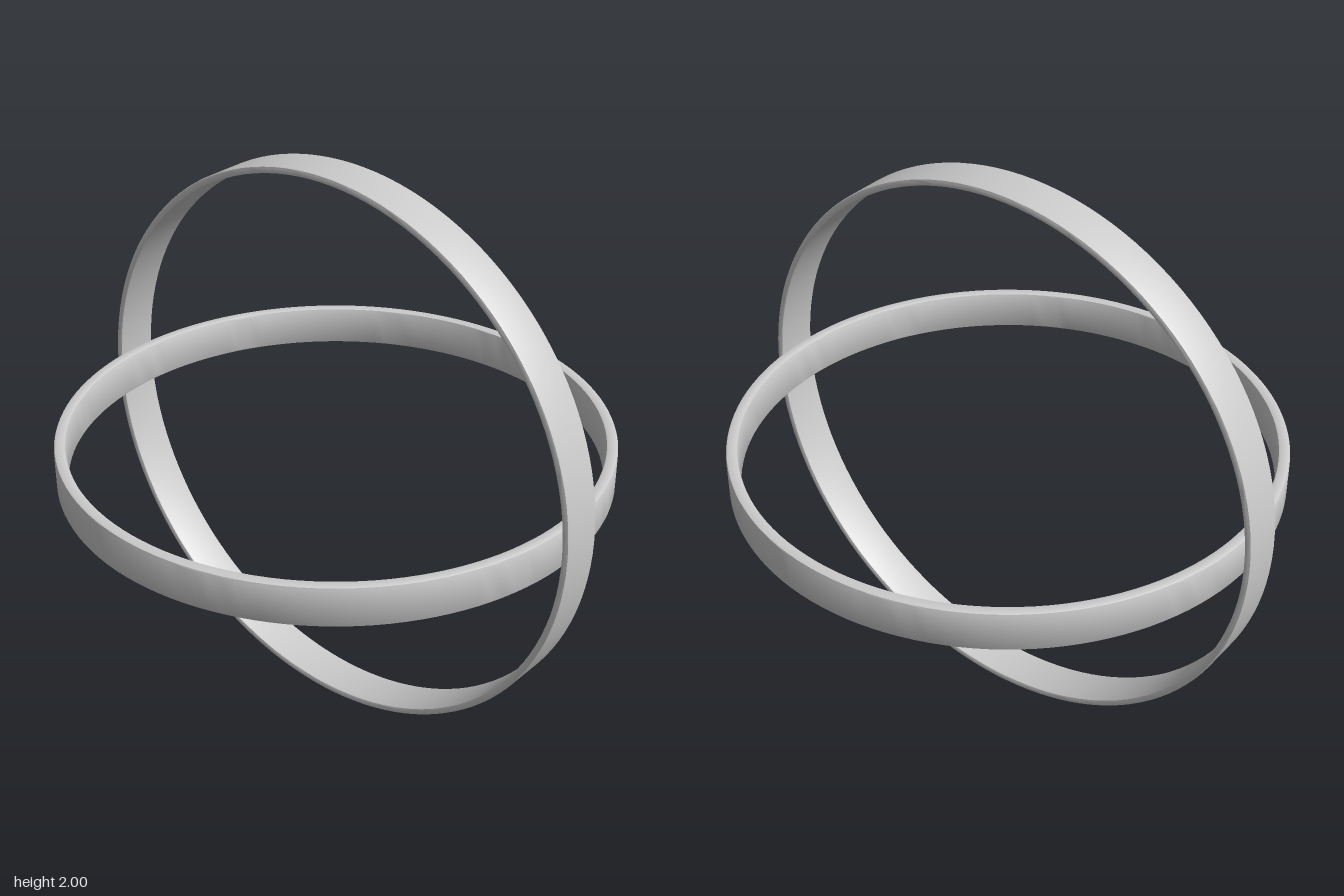
import * as THREE from 'three';
import { toCreasedNormals } from 'three/addons/utils/BufferGeometryUtils.js';

const material = new THREE.MeshStandardMaterial({ color: 0xcccccc });

// Flat band with softened rims, revolved around y
function makeBand(name, inner, outer, halfWidth, bevel) {
  const b = bevel, h = halfWidth;
  const profile = [
    [inner + b, -h], [outer - b, -h],
    [outer - b * 0.3, -h + b * 0.3], [outer, -h + b],
    [outer, h - b], [outer - b * 0.3, h - b * 0.3],
    [outer - b, h], [inner + b, h],
    [inner + b * 0.3, h - b * 0.3], [inner, h - b],
    [inner, -h + b], [inner + b * 0.3, -h + b * 0.3],
    [inner + b, -h],
  ].map(([r, y]) => new THREE.Vector2(r, y));
  const geometry = toCreasedNormals(new THREE.LatheGeometry(profile, 128), 0.6);
  const mesh = new THREE.Mesh(geometry, material);
  mesh.name = name;
  mesh.position.y = 1;
  return mesh;
}

export function createModel() {
  const model = new THREE.Group();
  model.name = 'crossedRings';

  // Upright outer ring, its axis along z
  const uprightRing = makeBand('uprightRing', 0.975, 1, 0.077, 0.008);
  uprightRing.rotation.x = Math.PI / 2;

  // Level inner ring
  const levelRing = makeBand('levelRing', 0.91, 0.95, 0.071, 0.008);

  model.add(uprightRing, levelRing);
  return model;
}
